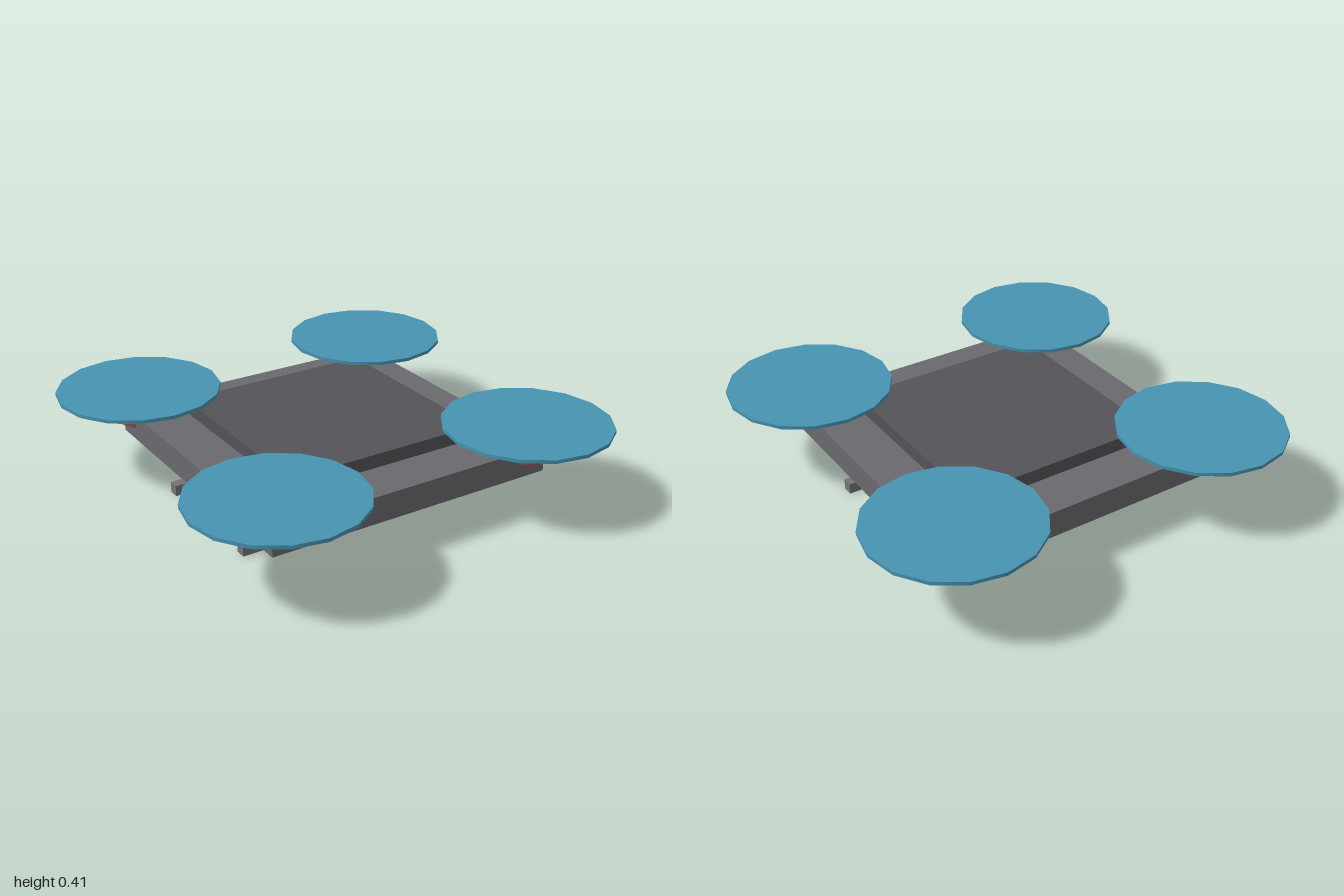
import * as THREE from 'three';

export function createModel() {
  const model = new THREE.Group();
  model.name = 'quadcopter';
  const mat = (color) => new THREE.MeshStandardMaterial({ color });
  const frameMat = mat(0x6a696e), bodyMat = mat(0x545359), skidMat = mat(0x737373);
  const lensMat = mat(0x333333), motorMat = mat(0x8a4a4a), rotorMat = mat(0x4693b0);

  const add = (name, geometry, material, x, y, z) => {
    const mesh = new THREE.Mesh(geometry, material);
    mesh.name = name;
    mesh.position.set(x, y, z);
    model.add(mesh);
  };
  // box given by its size and its bottom and top heights
  const box = (name, material, w, d, y0, y1, x = 0, z = 0) =>
    add(name, new THREE.BoxGeometry(w, y1 - y0, d), material, x, (y0 + y1) / 2, z);

  // wide frame plate with a thicker central body passing through it
  box('framePlate', frameMat, 1.365, 1.365, 0.19, 0.3125);
  box('centralBody', bodyMat, 0.9375, 0.9375, 0.125, 0.375);

  // camera under the front
  box('camera', lensMat, 0.1875, 0.1875, 0.0625, 0.135, 0, 0.3125);

  // motors and rotor discs at the corners
  const motorGeo = new THREE.CylinderGeometry(0.094, 0.094, 0.125, 16);
  const rotorGeo = new THREE.CylinderGeometry(0.375, 0.375, 0.016, 16);
  for (const x of [-0.625, 0.625]) {
    for (const z of [-0.625, 0.625]) {
      add('motor', motorGeo, motorMat, x, 0.3125, z);
      add('rotor', rotorGeo, rotorMat, x, 0.407, z);
    }
  }

  // landing skids, each on two short legs
  for (const z of [-0.3125, 0.3125]) {
    box('skid', skidMat, 1.25, 0.05, 0, 0.05, 0, z);
    for (const x of [-0.3125, 0.3125]) box('skidLeg', skidMat, 0.05, 0.05, 0.05, 0.13, x, z);
  }
  return model;
}
